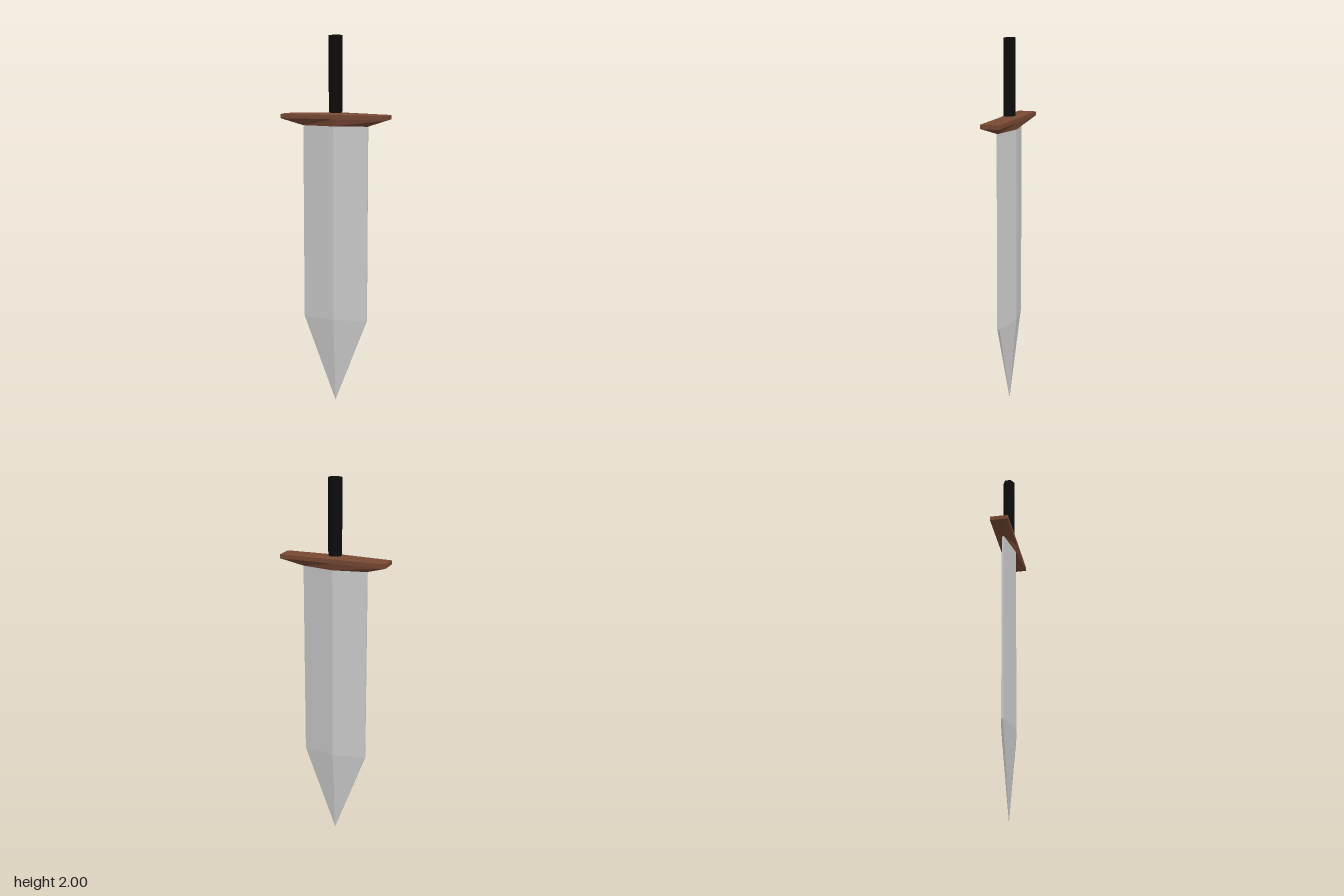
import * as THREE from 'three';

// Six-sided horizontal section: ridge depth at the middle, edge depth at the sides
const section = (y, halfWidth, ridge, edge) => [
  [0, y, ridge], [halfWidth, y, edge], [halfWidth, y, -edge],
  [0, y, -ridge], [-halfWidth, y, -edge], [-halfWidth, y, edge],
];

// Skin a stack of sections from bottom to top, closing both ends
function loft(name, color, sections) {
  const pos = [];
  const tri = (...corners) => corners.forEach((c) => pos.push(...c));
  for (let s = 0; s < sections.length - 1; s++) {
    const lo = sections[s], hi = sections[s + 1];
    for (let i = 0; i < 6; i++) {
      const j = (i + 1) % 6;
      tri(lo[i], lo[j], hi[j]);
      tri(lo[i], hi[j], hi[i]);
    }
  }
  const bottom = sections[0], top = sections[sections.length - 1];
  for (let i = 1; i < 5; i++) {
    tri(bottom[0], bottom[i + 1], bottom[i]);
    tri(top[0], top[i], top[i + 1]);
  }
  const geometry = new THREE.BufferGeometry();
  geometry.setAttribute('position', new THREE.Float32BufferAttribute(pos, 3));
  geometry.computeVertexNormals();
  const mesh = new THREE.Mesh(geometry, new THREE.MeshStandardMaterial({ color, flatShading: true }));
  mesh.name = name;
  return mesh;
}

export function createModel() {
  const model = new THREE.Group();
  model.name = 'sword';

  // Broad ridged blade, pointing down
  model.add(loft('blade', 0xcccccc, [
    section(0, 0.0005, 0.0005, 0.0003),
    section(0.475, 0.178, 0.04, 0.006),
    section(1.53, 0.178, 0.04, 0.006),
  ]));

  // Crossguard: flares from the blade section to a bar, then closes on the grip
  model.add(loft('crossguard', 0x784934, [
    section(1.53, 0.178, 0.04, 0.006),
    section(1.568, 0.292, 0.049, 0.049),
    section(1.59, 0.292, 0.049, 0.049),
    section(1.6, 0.032, 0.033, 0.0165),
  ]));

  // Hexagonal grip
  model.add(loft('grip', 0x0c0c0c, [
    section(1.6, 0.032, 0.033, 0.0165),
    section(2, 0.032, 0.033, 0.0165),
  ]));

  return model;
}
